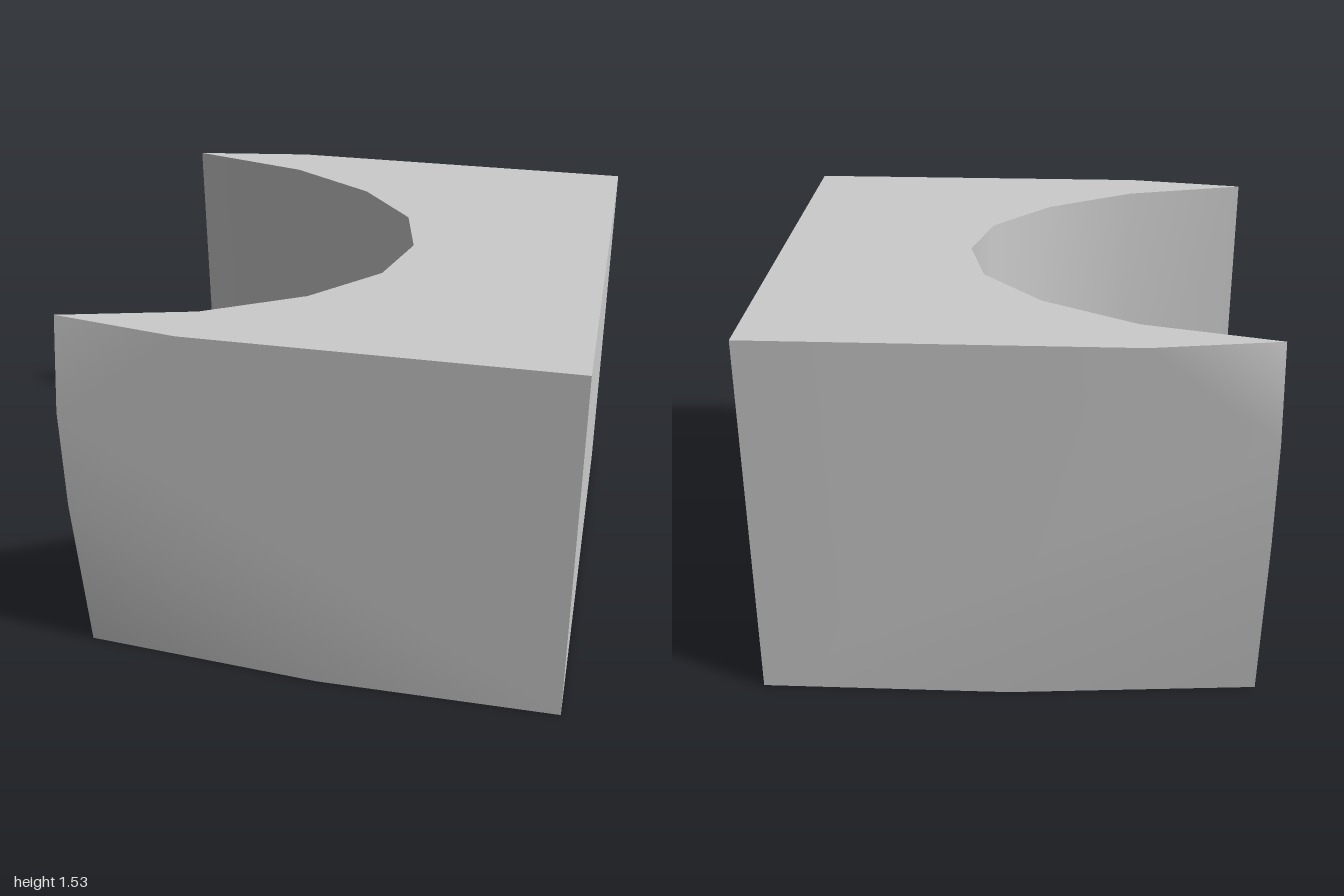
import * as THREE from 'three';

const H = 1.535;   // block height
const TIP = 0.92;  // half spread of the notch mouth at x = -1
const TOP_BEND = -0.5, BOTTOM_BEND = 0;
const BULGE_HIGH = 1.16, BULGE_LOW = 0.73;

const material = new THREE.MeshStandardMaterial({ color: 0xcccccc });

// Half of the notch outline as (x, z), from the mouth to the deepest point
const half = [[-1, TIP], [-0.48, 0.785], [-0.11, 0.57], [0.13, 0.3], [0.205, 0]];
const notch = [...half, ...half.slice(0, -1).reverse().map(([x, z]) => [x, -z])];

function addMesh(group, name, geometry) {
  const mesh = new THREE.Mesh(geometry, material);
  mesh.name = name;
  group.add(mesh);
}

// Indexed surface with smooth normals; mirrored across z when side is -1
function surface(points, triangles, side = 1) {
  const geometry = new THREE.BufferGeometry();
  const flat = points.flatMap(([x, y, z]) => [x, y, z * side]);
  geometry.setAttribute('position', new THREE.Float32BufferAttribute(flat, 3));
  geometry.setIndex(triangles.flatMap(([a, b, c]) => (side > 0 ? [a, b, c] : [a, c, b])));
  geometry.computeVertexNormals();
  return geometry;
}

// Flat cap with the notch cut out; its outer edges turn inward at x = bend
function cap(bend) {
  const outline = [[bend, -1], [1, -1], [1, 1], [bend, 1], ...notch];
  return new THREE.ShapeGeometry(new THREE.Shape(outline.map(([x, z]) => new THREE.Vector2(x, z))));
}

export function createModel() {
  const group = new THREE.Group();
  group.name = 'notchedBlock';

  addMesh(group, 'topFace', cap(TOP_BEND).rotateX(-Math.PI / 2).translate(0, H, 0));
  addMesh(group, 'bottomFace', cap(BOTTOM_BEND).rotateX(Math.PI / 2));

  // Flat end wall
  addMesh(group, 'endWall', new THREE.PlaneGeometry(2, H).rotateY(Math.PI / 2).translate(1, H / 2, 0));

  // Curved wall of the notch
  const wallPoints = notch.flatMap(([x, z]) => [[x, 0, z], [x, H, z]]);
  const wallTriangles = [];
  for (let i = 0; i < notch.length - 1; i++) {
    const a = i * 2;
    wallTriangles.push([a, a + 1, a + 2], [a + 1, a + 3, a + 2]);
  }
  addMesh(group, 'notchWall', surface(wallPoints, wallTriangles));

  for (const side of [1, -1]) {
    const label = side > 0 ? 'front' : 'back';

    // Outer wall: flat, with its two corners by the notch folded inward
    const outer = [
      [1, 0, 1], [1, H, 1], [TOP_BEND, H, 1], [-1, BULGE_HIGH, 1], [-1, BULGE_LOW, 1],
      [BOTTOM_BEND, 0, 1], [-1, H, TIP], [-1, 0, TIP],
    ];
    const outerTriangles = [[0, 1, 2], [0, 2, 3], [0, 3, 4], [0, 4, 5], [2, 6, 3], [4, 7, 5]];
    addMesh(group, label + 'Wall', surface(outer, outerTriangles, side));

    // Thin bulging end of the arm
    const end = [[-1, 0, TIP], [-1, BULGE_LOW, 1], [-1, BULGE_HIGH, 1], [-1, H, TIP]];
    addMesh(group, label + 'ArmEnd', surface(end, [[0, 1, 2], [0, 2, 3]], side));
  }
  return group;
}
